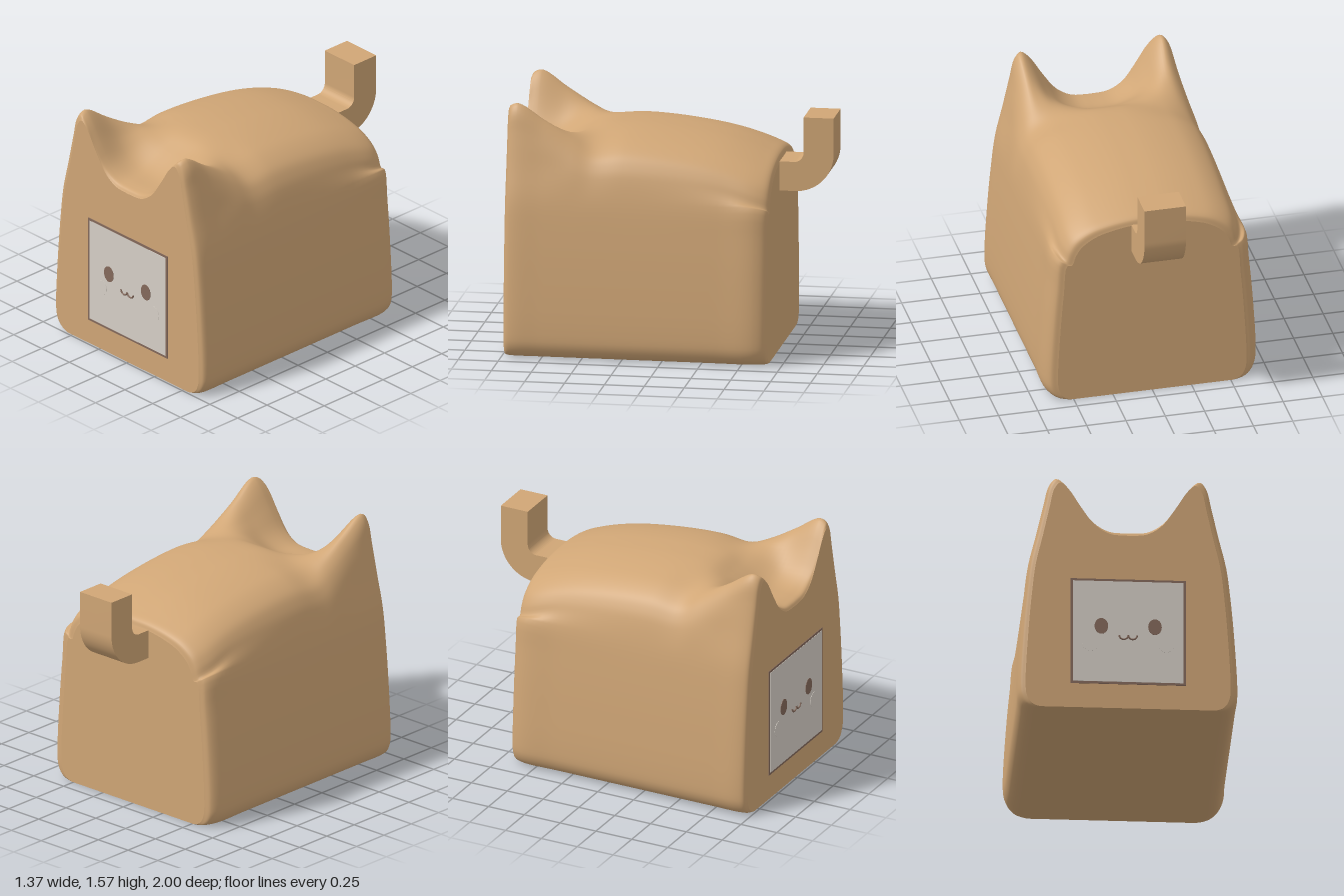
import * as THREE from 'three';
import { toCreasedNormals } from 'three/addons/utils/BufferGeometryUtils.js';

const mat = (name, color) => {
  const m = new THREE.MeshStandardMaterial({ color });
  m.name = name;
  return m;
};

// Half outline (x, y) shared by every cross-section, from the underside up the wall
const WALL = [[0, 0], [0.3, 0], [0.58, 0], [0.64, 0.025], [0.672, 0.08], [0.68, 0.16], [0.663, 0.5], [0.637, 0.8], [0.612, 1.0]];
// Upper half outlines, from the shoulder to the middle
const EARS = [[0.565, 1.2], [0.52, 1.4], [0.49, 1.525], [0.45, 1.572], [0.4, 1.535], [0.31, 1.4], [0.22, 1.28], [0.12, 1.22], [0, 1.21]];
const EAR_BACK = [[0.567, 1.19], [0.53, 1.34], [0.49, 1.43], [0.445, 1.47], [0.39, 1.445], [0.31, 1.36], [0.22, 1.28], [0.12, 1.235], [0, 1.225]];
const NECK = [[0.575, 1.17], [0.54, 1.26], [0.5, 1.32], [0.45, 1.358], [0.38, 1.372], [0.3, 1.365], [0.2, 1.345], [0.1, 1.325], [0, 1.32]];
const CROWN = [[0.578, 1.15], [0.553, 1.21], [0.517, 1.265], [0.465, 1.307], [0.39, 1.345], [0.3, 1.37], [0.2, 1.388], [0.1, 1.398], [0, 1.4]];

// Stations along z: [z, upper outline, drop of the crown, inset of the rounded ends]
const STATIONS = [
  [-0.662, CROWN, 0.15, 0.08], [-0.648, CROWN, 0.15, 0.035], [-0.57, CROWN, 0.14, 0],
  [-0.35, CROWN, 0.07, 0], [-0.05, CROWN, 0.02, 0], [0.25, CROWN, 0, 0], [0.45, CROWN, 0.015, 0],
  [0.58, NECK, 0, 0], [0.76, EAR_BACK, 0, 0], [0.92, EARS, 0, 0], [0.97, EARS, 0, 0.015], [0.986, EARS, 0, 0.045],
];

function stationCurve([z, top, drop, inset]) {
  const kx = 1 - inset / 0.68, ky = 1 - inset * 0.6;
  const pts = [
    ...WALL.map(([x, y]) => [x, y]),
    ...top.map(([x, y]) => [x, y - drop]),
  ];
  return new THREE.CatmullRomCurve3(pts.map(([x, y]) => new THREE.Vector3(x * kx, y * ky, z)));
}

// Smooth loft through the stations, closed by flat ends
function buildBody(material) {
  const N = 68, S = 66;
  const curves = STATIONS.map(stationCurve);
  const rails = [];
  for (let i = 0; i <= N; i++) {
    rails.push(new THREE.CatmullRomCurve3(curves.map((c) => c.getPoint(i / N))));
  }
  const pos = [], idx = [], loops = [];
  for (let s = 0; s <= S; s++) {
    const half = rails.map((r) => r.getPoint(s / S));
    half.forEach((p) => { p.y = Math.max(p.y, 0); });
    const mirrored = half.slice(1, N).reverse().map((p) => new THREE.Vector3(-p.x, p.y, p.z));
    const loop = [...half, ...mirrored];
    loops.push(loop);
    loop.forEach((p) => pos.push(p.x, p.y, p.z));
  }
  const n = 2 * N;
  for (let s = 0; s < S; s++) {
    for (let i = 0; i < n; i++) {
      const j = (i + 1) % n;
      const a = s * n + i, b = s * n + j, c = a + n, d = b + n;
      idx.push(a, b, c, b, d, c);
    }
  }
  const skin = new THREE.BufferGeometry();
  skin.setAttribute('position', new THREE.Float32BufferAttribute(pos, 3));
  skin.setIndex(idx);
  skin.computeVertexNormals();

  const group = new THREE.Group();
  group.name = 'body';
  const add = (name, geo) => {
    const m = new THREE.Mesh(geo, material);
    m.name = name;
    group.add(m);
    return m;
  };
  const cap = (loop) => new THREE.ShapeGeometry(new THREE.Shape(loop.map((p) => new THREE.Vector2(p.x, p.y))));
  add('bodySkin', skin);
  add('bodyFront', cap(loops[S])).position.z = loops[S][0].z;
  const back = add('bodyBack', cap(loops[0]));
  back.rotation.y = Math.PI;
  back.position.z = loops[0][0].z;
  return group;
}

// Square-section tail that bends upwards
function buildTail(material) {
  const s = new THREE.Shape();
  s.moveTo(0.6, 1.005);
  s.lineTo(0.76, 1.005);
  s.absarc(0.76, 1.245, 0.24, -Math.PI / 2, 0, false);
  s.lineTo(1.0, 1.475);
  s.lineTo(0.812, 1.475);
  s.lineTo(0.812, 1.25);
  s.absarc(0.752, 1.25, 0.06, 0, -Math.PI / 2, true);
  s.lineTo(0.6, 1.19);
  s.closePath();
  let geo = new THREE.ExtrudeGeometry(s, { depth: 0.264, bevelEnabled: false, curveSegments: 14 });
  geo.translate(0, 0, -0.132);
  geo.rotateY(Math.PI / 2);
  geo = toCreasedNormals(geo, 0.6);
  const tail = new THREE.Mesh(geo, material);
  tail.name = 'tail';
  return tail;
}

export function createModel() {
  const tan = mat('tan', 0xd0a676);
  const brown = mat('brown', 0x84695b);
  const pale = mat('pale grey', 0xd6cfc6);

  const model = new THREE.Group();
  model.name = 'boxCat';
  model.add(buildBody(tan), buildTail(tan));

  // Face screen on the front
  const face = new THREE.Group();
  face.name = 'face';
  model.add(face);
  const put = (name, geo, material, x, y, z) => {
    const m = new THREE.Mesh(geo, material);
    m.name = name;
    m.position.set(x, y, z);
    face.add(m);
    return m;
  };
  put('screenFrame', new THREE.BoxGeometry(0.714, 0.714, 0.006), brown, 0, 0.52, 0.987);
  put('screen', new THREE.BoxGeometry(0.684, 0.684, 0.006), pale, 0, 0.52, 0.989);

  for (const side of [1, -1]) {
    const name = side > 0 ? 'left' : 'right';
    const disc = (r) => new THREE.CylinderGeometry(r, r, 0.004, 32).rotateX(Math.PI / 2);
    put(name + 'Eye', disc(0.042), brown, side * 0.166, 0.555, 0.993).scale.y = 1.26;
    put(name + 'Cheek', disc(0.05), pale, side * 0.235, 0.435, 0.992);
    // Mouth curl
    const curl = new THREE.TorusGeometry(0.027, 0.0055, 8, 20, Math.PI);
    put(name + 'MouthCurl', curl, brown, side * 0.028, 0.494, 0.9945).rotation.z = Math.PI;
  }
  return model;
}
